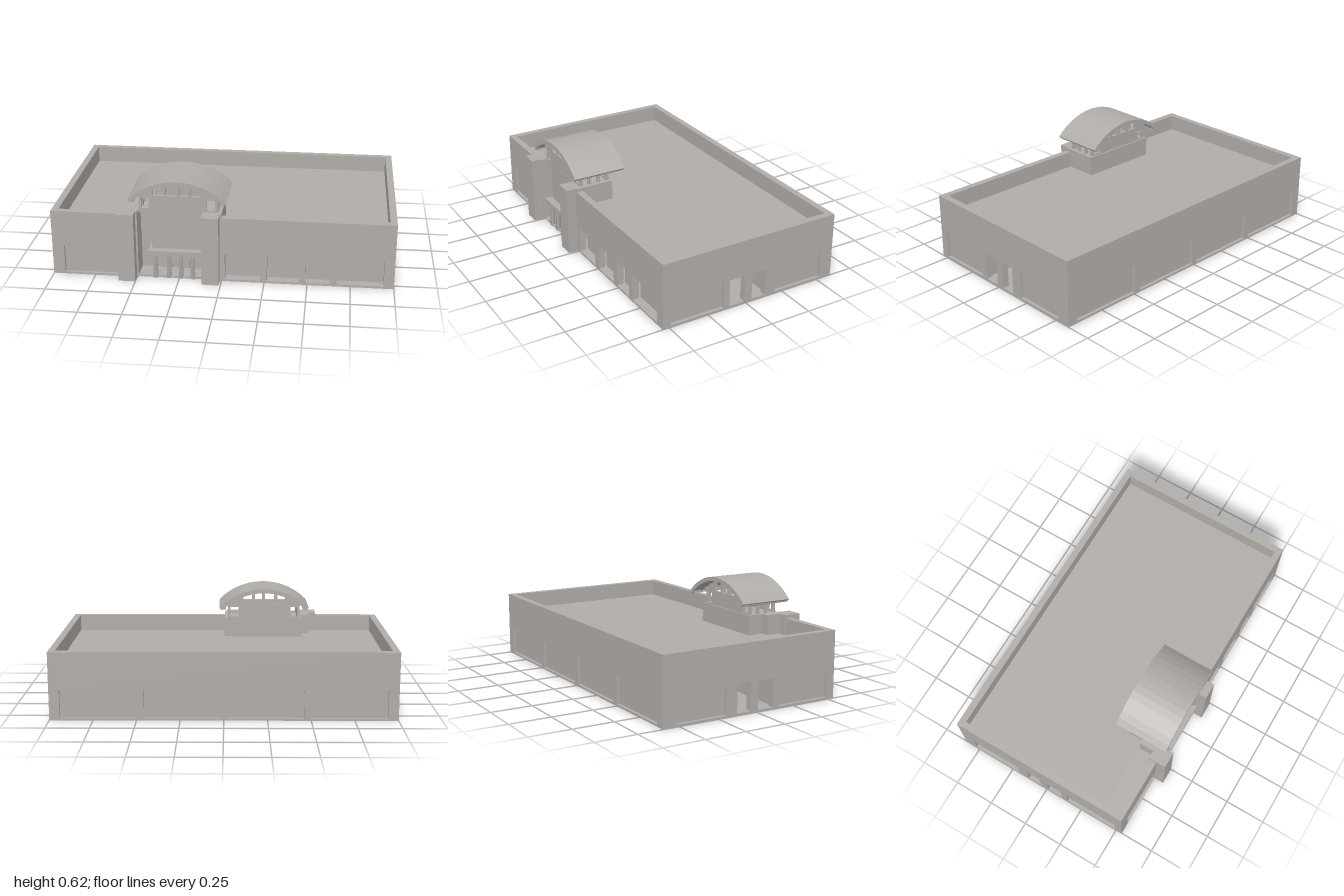
import * as THREE from 'three';

export function createModel() {
  const model = new THREE.Group();
  model.name = 'building';
  const stone = new THREE.MeshStandardMaterial({ color: 0xb0aca8, side: THREE.DoubleSide });
  stone.name = 'warm grey stone';

  const add = (name, geometry, parent = model) => {
    const mesh = new THREE.Mesh(geometry, stone);
    mesh.name = name;
    parent.add(mesh);
    return mesh;
  };
  // Box given by its low and high corners
  const box = (name, x0, x1, y0, y1, z0, z1, parent) => {
    const g = new THREE.BoxGeometry(x1 - x0, y1 - y0, z1 - z0);
    g.translate((x0 + x1) / 2, (y0 + y1) / 2, (z0 + z1) / 2);
    return add(name, g, parent);
  };
  const polygon = (points, Type = THREE.Shape) => new Type(points.map(p => new THREE.Vector2(...p)));
  const rect = (a, b, y0, y1) => [[a, y0], [b, y0], [b, y1], [a, y1]];

  // Wall with openings; its outer face lies on local z = 0
  const wall = (name, a, b, openings, panelDepth) => {
    const group = new THREE.Group();
    group.name = name;
    const shape = polygon(rect(a, b, 0, 0.4));
    for (const [u0, u1, top] of openings) {
      shape.holes.push(polygon(rect(u0, u1, 0.012, top), THREE.Path));
    }
    const g = new THREE.ExtrudeGeometry(shape, { depth: 0.04, bevelEnabled: false });
    g.translate(0, 0, -0.04);
    add(name + 'Frame', g, group);
    for (const [u0, u1, top, open] of openings) {
      if (!open) box(name + 'Panel', u0 - 0.005, u1 + 0.005, 0.005, top + 0.005, -panelDepth - 0.008, -panelDepth, group);
    }
    model.add(group);
    return group;
  };

  // Front wings on either side of the entrance
  wall('frontWallRight', -1, -0.55, [[-0.93, -0.605, 0.18]], 0.02).position.z = 0.54;
  wall('frontWallLeft', -0.06, 1, [
    [0.02, 0.225, 0.17], [0.265, 0.45, 0.17], [0.49, 0.63, 0.17], [0.67, 0.94, 0.17],
  ], 0.055).position.z = 0.54;

  // Rear wall with four shallow bays
  const bays = [-0.94, -0.46, 0.02, 0.5].map(u => [u, u + 0.44, 0.18]);
  const rear = wall('rearWall', -1, 1, bays, 0.02);
  rear.position.z = -0.6;
  rear.rotation.y = Math.PI;

  // Side walls, each with two blind bays and two passage openings
  const sideBays = [[-0.49, -0.15, 0.178], [-0.11, -0.01, 0.178, true], [0.04, 0.13, 0.178, true], [0.2, 0.52, 0.178]];
  for (const side of [1, -1]) {
    const openings = sideBays.map(([a, b, top, open]) => (side > 0 ? [a, b, top, open] : [-b, -a, top, open]));
    const group = wall(side > 0 ? 'leftWall' : 'rightWall', side > 0 ? -0.54 : -0.6, side > 0 ? 0.6 : 0.54, openings, 0.02);
    group.position.x = side;
    group.rotation.y = side * Math.PI / 2;
  }

  // Floor, roof deck and the walls of the passage through the building
  box('floor', -0.99, 0.99, 0, 0.012, -0.59, 0.53);
  box('roofDeck', -0.97, 0.97, 0.27, 0.3, -0.57, 0.4);
  box('roofDeckRight', -0.97, -0.55, 0.27, 0.3, 0.4, 0.51);
  box('roofDeckLeft', -0.06, 0.97, 0.27, 0.3, 0.4, 0.51);
  for (const z of [0.13, -0.15]) box('passageWall', -0.97, 0.97, 0.01, 0.2, z - 0.005, z + 0.005);
  box('passageCeiling', -0.97, 0.97, 0.185, 0.2, -0.15, 0.13);

  // Entrance: piers, upper wall, canopy, columns and doors
  box('rightPier', -0.6, -0.5, 0, 0.42, 0.49, 0.6);
  box('leftPier', -0.11, -0.01, 0, 0.42, 0.49, 0.6);
  box('towerBase', -0.5, 0, 0.27, 0.42, 0.3, 0.42);
  box('towerBaseLeft', -0.06, 0, 0.3, 0.42, 0.42, 0.54);
  box('towerBaseRight', -0.55, -0.49, 0.27, 0.42, 0.4, 0.54);
  box('entranceUpperWall', -0.41, -0.1, 0.17, 0.42, 0.4, 0.51);
  box('entranceCanopy', -0.43, -0.11, 0.15, 0.18, 0.41, 0.555);
  box('entranceBackWall', -0.56, -0.05, 0, 0.28, 0.39, 0.41);
  for (const x of [-0.5, -0.11]) box('entranceSideWall', x - 0.01, x + 0.01, 0, 0.4, 0.4, 0.54);
  for (const x of [-0.39, -0.31, -0.24, -0.17]) {
    const g = new THREE.CylinderGeometry(0.014, 0.018, 0.15, 4);
    g.rotateY(Math.PI / 4);
    g.translate(x, 0.075, 0.525);
    add('entranceColumn', g);
  }
  for (const x of [-0.34, -0.24, -0.14]) box('entranceDoor', x - 0.035, x + 0.035, 0.012, 0.13, 0.41, 0.418);

  // Arched roof of the lantern
  const cx = -0.252, cy = 0.217, span = 0.79;
  const arc = (radius, from, to, steps = 14) => Array.from({ length: steps + 1 }, (_, i) => {
    const a = from + (to - from) * i / steps;
    return [cx + radius * Math.sin(a), cy + radius * Math.cos(a)];
  });
  const roof = new THREE.ExtrudeGeometry(
    polygon([...arc(0.403, -span, span), ...arc(0.378, span, -span)]),
    { depth: 0.335, bevelEnabled: false });
  roof.translate(0, 0, 0.23);
  add('archedRoof', roof);

  // Lantern gable frames with openings that follow the arch
  const half = 0.62;
  const gable = polygon([[-0.482, 0.415], ...arc(0.382, -half, half), [-0.022, 0.415]]);
  for (const [a, b] of [[-0.4, -0.34], [-0.325, -0.26], [-0.245, -0.195], [-0.18, -0.12]]) {
    const top = x => cy + Math.sqrt(0.365 ** 2 - (x - cx) ** 2);
    gable.holes.push(polygon([[a, 0.51], [b, 0.51], [b, top(b)], [a, top(a)]], THREE.Path));
  }
  for (const [a, b] of [[-0.474, -0.425], [-0.09, -0.033]]) {
    gable.holes.push(polygon(rect(a, b, 0.43, 0.492), THREE.Path));
  }
  for (const z of [0.31, 0.49]) {
    const g = new THREE.ExtrudeGeometry(gable, { depth: 0.018, bevelEnabled: false });
    g.translate(0, 0, z);
    add('lanternGable', g);
  }

  // Posts and eaves beams along the lantern sides
  for (const x of [-0.475, -0.03]) {
    for (const z of [0.325, 0.38, 0.44, 0.495]) box('lanternPost', x - 0.008, x + 0.008, 0.415, 0.52, z - 0.01, z + 0.01);
    box('lanternBeam', x - 0.012, x + 0.012, 0.5, 0.52, 0.3, 0.515);
  }
  for (const x of [-0.515, 0.008]) box('eavesBeam', x - 0.015, x + 0.015, 0.488, 0.5, 0.235, 0.56);
  box('lanternFloor', -0.5, 0, 0.405, 0.42, 0.3, 0.51);

  return model;
}
